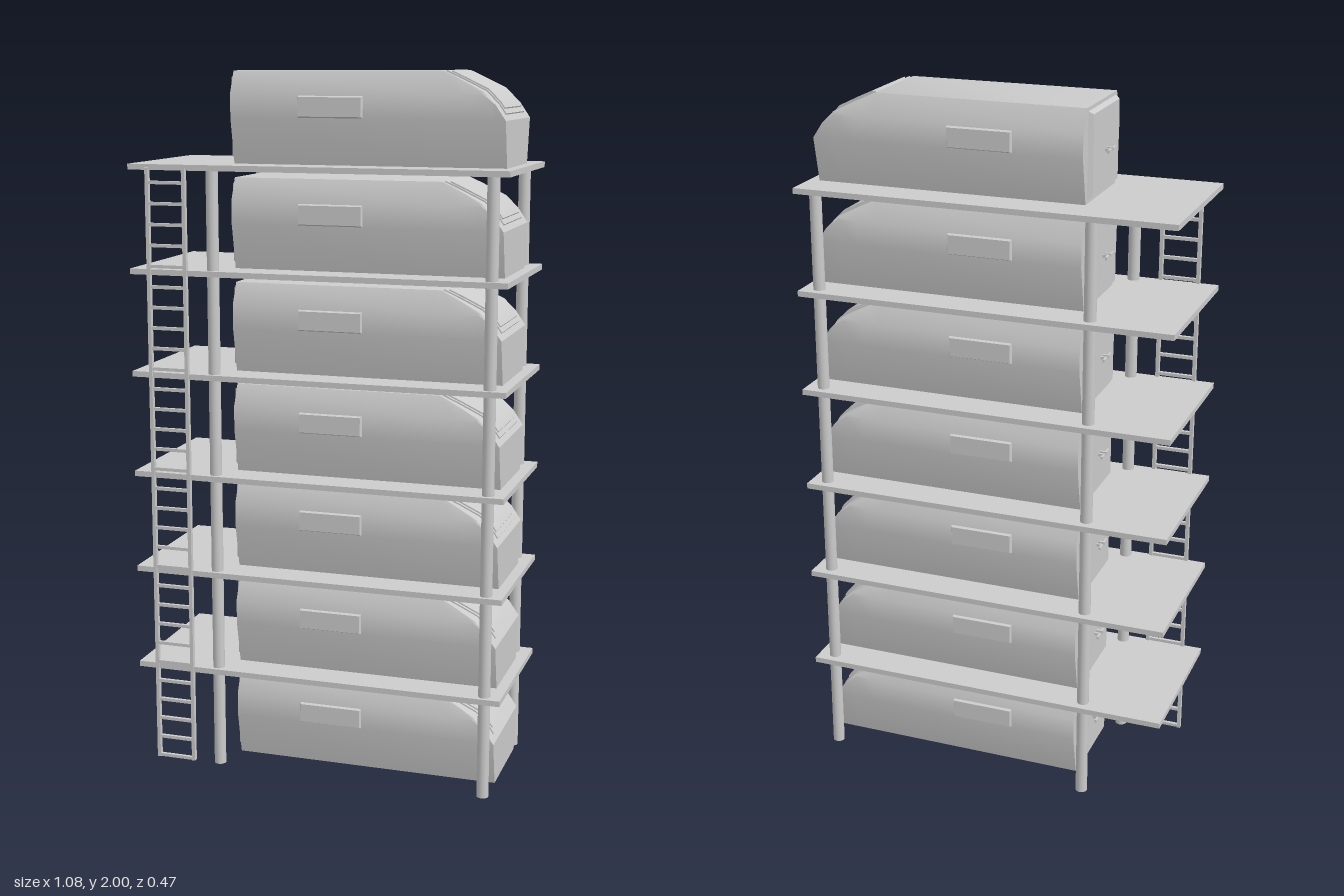
import * as THREE from 'three';
import { toCreasedNormals } from 'three/addons/utils/BufferGeometryUtils.js';

const material = new THREE.MeshStandardMaterial({ color: 0xcccccc });

function add(parent, name, geometry, x = 0, y = 0, z = 0) {
  const mesh = new THREE.Mesh(geometry, material);
  mesh.name = name;
  mesh.position.set(x, y, z);
  parent.add(mesh);
  return mesh;
}

// Box whose +z face is inset, giving a bevelled panel that stands on z = 0
function bevelPanel(w, h, d, inset) {
  const g = new THREE.BoxGeometry(w, h, d).translate(0, 0, d / 2);
  const p = g.attributes.position;
  for (let i = 0; i < p.count; i++) {
    if (p.getZ(i) < d / 2) continue;
    p.setX(i, p.getX(i) - Math.sign(p.getX(i)) * inset);
    p.setY(i, p.getY(i) - Math.sign(p.getY(i)) * inset);
  }
  g.computeVertexNormals();
  return g;
}

// Half section as [half width, height], and roof line over the nose as [x, height]
const SECTION = [[0.13, 0], [0.157, 0.125], [0.157, 0.192], [0.128, 0.253]];
const NOSE = [[0.335, 0.253], [0.39, 0.228], [0.448, 0.2], [0.482, 0.166], [0.51, 0.125]];

function halfWidth(y) {
  for (let i = 1; i < SECTION.length; i++) {
    const [w0, y0] = SECTION[i - 1], [w1, y1] = SECTION[i];
    if (y <= y1) return w0 + (w1 - w0) * (y - y0) / (y1 - y0);
  }
  return SECTION[SECTION.length - 1][0];
}

// Hull: the section swept along x and cut down under the roof line
function hullGeometry() {
  const stations = [[-0.26, 0.253], ...NOSE];
  const n = SECTION.length * 2;
  const positions = [], index = [];
  for (const [x, top] of stations) {
    const half = SECTION.map(([, y]) => [Math.min(y, top), halfWidth(Math.min(y, top))]);
    for (const [y, w] of half) positions.push(x, y, w);
    for (const [y, w] of half.reverse()) positions.push(x, y, -w);
  }
  for (let s = 0; s < stations.length - 1; s++) {
    for (let i = 0; i < n; i++) {
      const a = s * n + i, b = s * n + (i + 1) % n;
      index.push(a, a + n, b, b, a + n, b + n);
    }
  }
  const last = (stations.length - 1) * n;
  for (let i = 1; i < n - 1; i++) {
    index.push(0, i, i + 1);
    index.push(last, last + i + 1, last + i);
  }
  const g = new THREE.BufferGeometry();
  g.setAttribute('position', new THREE.Float32BufferAttribute(positions, 3));
  g.setIndex(index);
  return toCreasedNormals(g, 0.5);
}

// Curved slab following the nose between x0 and x1
function windscreenGeometry(x0, x1, width, lift) {
  const roof = (x) => {
    let i = 1;
    while (i < NOSE.length - 1 && x > NOSE[i][0]) i++;
    const [xa, ya] = NOSE[i - 1], [xb, yb] = NOSE[i];
    return ya + (yb - ya) * (x - xa) / (xb - xa);
  };
  const xs = [x0, 0.39, 0.448, 0.482, x1];
  const outer = xs.map((x) => new THREE.Vector2(x + lift * 0.5, roof(x) + lift * 0.85));
  const inner = xs.map((x) => new THREE.Vector2(x - 0.004, roof(x) - 0.006)).reverse();
  const g = new THREE.ExtrudeGeometry(new THREE.Shape([...outer, ...inner]), { depth: width, bevelEnabled: false });
  return toCreasedNormals(g.translate(0, 0, -width / 2), 0.5);
}

const geo = {
  hull: hullGeometry(),
  frame: windscreenGeometry(0.338, 0.5, 0.23, 0.004),
  glass: windscreenGeometry(0.348, 0.492, 0.21, 0.008),
  window: bevelPanel(0.186, 0.06, 0.009, 0.004),
  door: bevelPanel(0.236, 0.232, 0.013, 0.008),
  stem: new THREE.BoxGeometry(0.018, 0.008, 0.007),
  grip: new THREE.BoxGeometry(0.006, 0.008, 0.027),
};

function createPod() {
  const pod = new THREE.Group();
  pod.name = 'pod';
  add(pod, 'hull', geo.hull);
  add(pod, 'windscreenFrame', geo.frame);
  add(pod, 'windscreen', geo.glass);
  add(pod, 'rearDoor', geo.door, -0.26, 0.127, 0).rotation.y = -Math.PI / 2;
  for (const side of [1, -1]) {
    const pane = add(pod, 'sideWindow', geo.window, 0.027, 0.157, side * 0.156);
    if (side < 0) pane.rotation.y = Math.PI;
    // Paired door handles
    add(pod, 'handleStem', geo.stem, -0.281, 0.122, side * 0.009);
    add(pod, 'handleGrip', geo.grip, -0.289, 0.122, side * 0.019);
  }
  return pod;
}

export function createModel() {
  const model = new THREE.Group();
  model.name = 'podTower';
  const decks = [0.297, 0.589, 0.873, 1.164, 1.456, 1.747];

  // Decks, with a pod on the ground and one on each deck
  const deckGeo = new THREE.BoxGeometry(1.08, 0.016, 0.462);
  for (const y of decks) add(model, 'deck', deckGeo, 0, y - 0.008, -0.003);
  for (const y of [0.012, ...decks]) {
    const pod = createPod();
    pod.position.y = y;
    model.add(pod);
  }

  // Corner columns
  const columnGeo = new THREE.CylinderGeometry(0.017, 0.017, 1.735, 20);
  for (const x of [-0.3, 0.491]) {
    for (const z of [0.201, -0.197]) add(model, 'column', columnGeo, x, 0.8675, z);
  }

  // Ladder along the front edge
  const ladder = new THREE.Group();
  ladder.name = 'ladder';
  const railGeo = new THREE.BoxGeometry(0.01, 1.73, 0.014);
  const rungGeo = new THREE.BoxGeometry(0.11, 0.009, 0.01);
  for (const x of [-0.482, -0.373]) add(ladder, 'rail', railGeo, x, 0.872, 0.226);
  for (let i = 0; i < 30; i++) add(ladder, 'rung', rungGeo, -0.4275, 0.012 + i * 0.0581, 0.226);
  model.add(ladder);

  return model;
}
